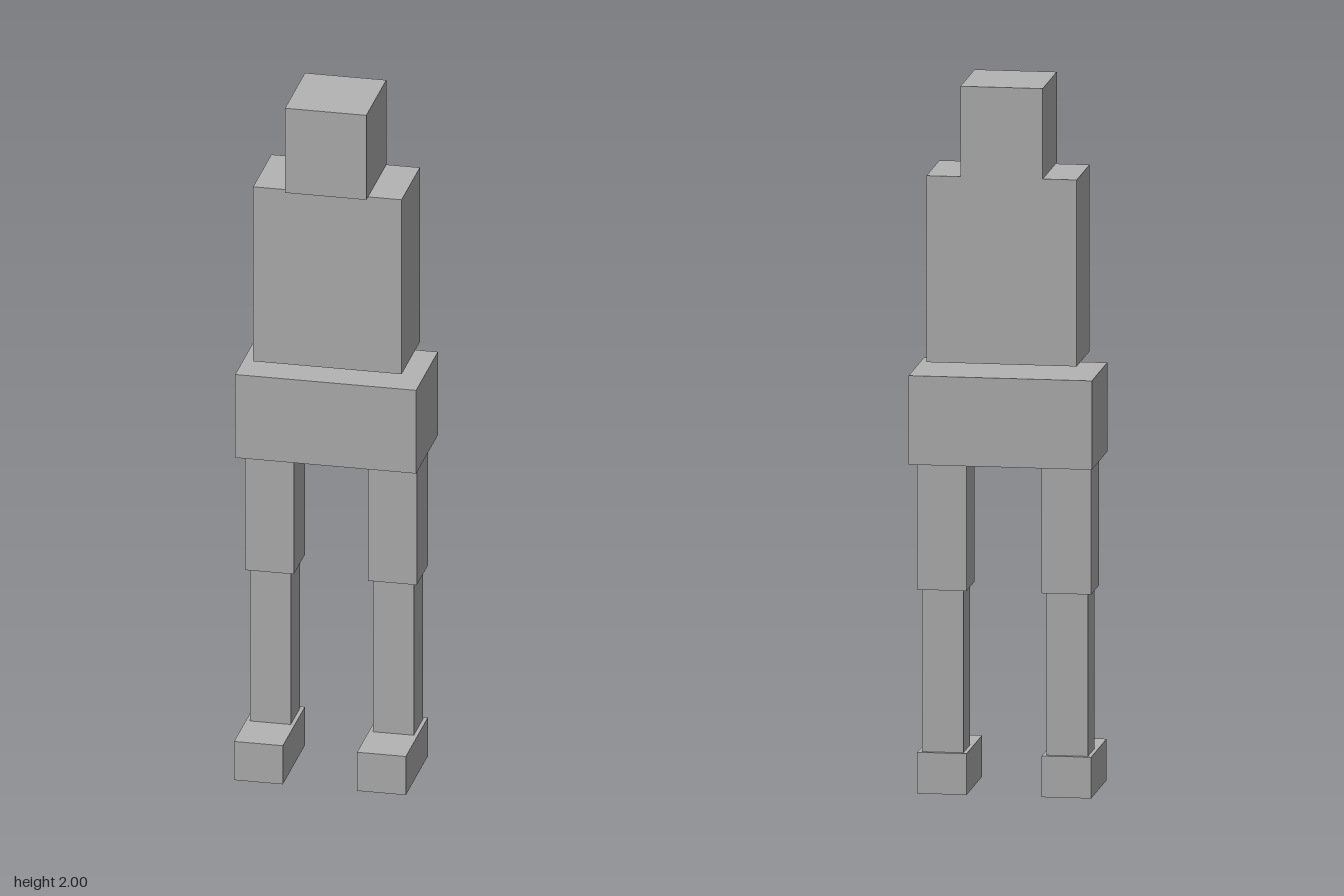
import * as THREE from 'three';

export function createModel() {
  const model = new THREE.Group();
  model.name = 'blockFigure';

  const grey = new THREE.MeshStandardMaterial({ color: 0xb4b4b4 });
  grey.name = 'plain grey';

  // Adds a box given its extents along each axis
  function addBox(parent, name, [x0, x1], [y0, y1], [z0, z1]) {
    const mesh = new THREE.Mesh(new THREE.BoxGeometry(x1 - x0, y1 - y0, z1 - z0), grey);
    mesh.position.set((x0 + x1) / 2, (y0 + y1) / 2, (z0 + z1) / 2);
    mesh.name = name;
    parent.add(mesh);
  }

  // Upper body, with a small gap between torso and pelvis
  addBox(model, 'head', [-0.115, 0.115], [1.746, 2], [-0.152, 0.102]);
  addBox(model, 'torso', [-0.21, 0.21], [1.222, 1.746], [-0.152, 0.08]);
  addBox(model, 'pelvis', [-0.256, 0.256], [0.937, 1.187], [-0.175, 0.102]);

  // Legs, mirrored about x = 0
  for (const [side, s] of [['left', 1], ['right', -1]]) {
    const leg = new THREE.Group();
    leg.name = side + 'Leg';
    const span = (a, b) => (s > 0 ? [a, b] : [-b, -a]);
    addBox(leg, side + 'Thigh', span(0.105, 0.243), [0.573, 0.937], [-0.105, 0.035]);
    addBox(leg, side + 'Shin', span(0.116, 0.232), [0.116, 0.573], [-0.093, 0.024]);
    addBox(leg, side + 'Foot', span(0.105, 0.243), [0, 0.116], [-0.105, 0.174]);
    model.add(leg);
  }

  return model;
}
